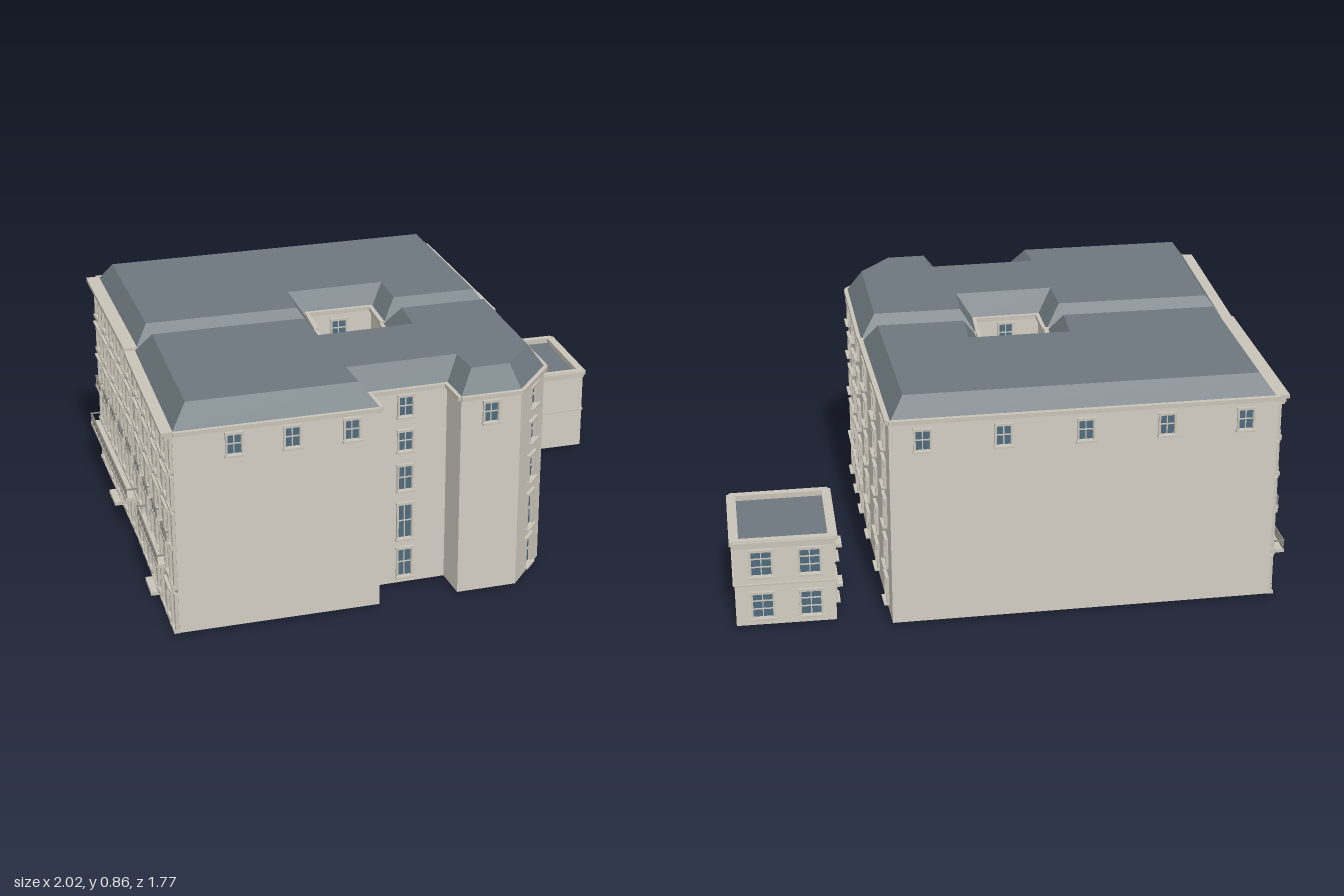
import * as THREE from 'three';
import { mergeGeometries } from 'three/addons/utils/BufferGeometryUtils.js';

const mat = (color) => new THREE.MeshStandardMaterial({ color, side: THREE.DoubleSide, flatShading: true });
const wallMat = mat(0xd2cdc2), trimMat = mat(0xc9c4b8), roofMat = mat(0x6c777d);
const glassMat = mat(0x4f6b7d), stoneMat = mat(0x8d8a83);

const box = (w, h, d, x, y, z) => new THREE.BoxGeometry(w, h, d).translate(x, y, z);
function add(group, name, geos, material) {
  if (!geos.length) return;
  const mesh = new THREE.Mesh(geos.length > 1 ? mergeGeometries(geos) : geos[0], material);
  mesh.name = name;
  group.add(mesh);
}

// floor rows as [centre height, window height]
const ROWS_B = [[0.715, 0.075], [0.58, 0.075], [0.435, 0.095], [0.262, 0.135], [0.095, 0.11]];
const ROWS_A = [[0.70, 0.10], [0.55, 0.095], [0.40, 0.10], [0.24, 0.10], [0.09, 0.095]];
const ROWS_F = [[0.70, 0.095], [0.555, 0.09], [0.41, 0.10], [0.265, 0.12], [0.09, 0.115]];
const ROWS_ANNEX = [[0.255, 0.095], [0.09, 0.095]];
const grid = (cols, rows, w = 0.05, panes = 2) =>
  cols.flatMap((u) => rows.map(([y, h]) => ({ u, y, w, h, panes })));

// One wall from p to q (outside on local +z) with pierced windows, surrounds and glass
function makeWall(name, p, q, y1, wins = [], opt = {}) {
  const dx = q[0] - p[0], dz = q[1] - p[1], len = Math.hypot(dx, dz), y0 = opt.y0 ?? 0.012;
  const g = new THREE.Group();
  g.name = name;
  g.position.set(p[0], 0, p[1]);
  g.rotation.y = Math.atan2(-dz, dx);
  const rect = (C, x0, b, x1, t) => {
    const s = new C();
    s.moveTo(x0, b); s.lineTo(x1, b); s.lineTo(x1, t); s.lineTo(x0, t); s.closePath();
    return s;
  };
  const shape = rect(THREE.Shape, 0, y0, len, y1);
  const glass = [], trim = [];
  for (const { u, y, w, h, panes } of wins) {
    const x = u * len, b = y - h / 2, t = y + h / 2;
    shape.holes.push(rect(THREE.Path, x - w / 2, b, x + w / 2, t));
    glass.push(new THREE.PlaneGeometry(w, h).translate(x, y, -0.004));
    for (const s of [-1, 1]) trim.push(box(0.007, h, 0.014, x + s * (w / 2 + 0.003), y, 0.002));
    trim.push(box(w + 0.016, 0.009, 0.018, x, t + 0.004, 0.003));
    trim.push(box(w + 0.02, 0.007, 0.026, x, b - 0.003, 0.006));
    // glazing bars
    trim.push(box(0.004, h, 0.004, x, y, -0.002));
    for (let i = 1; i < panes; i++) trim.push(box(w, 0.004, 0.004, x, b + (h * i) / panes, -0.002));
  }
  if (opt.cornice !== false) trim.push(box(len, 0.016, 0.016, len / 2, y1 - 0.006, 0.004));
  add(g, 'wallFace', [new THREE.ShapeGeometry(shape)], wallMat);
  add(g, 'windowGlass', glass, glassMat);
  add(g, 'windowTrim', trim, trimMat);
  g.userData.length = len;
  return g;
}

// Street front dressing: paired columns, floor bands, deep cornice and balconies
function dressFacade(g, cols, y1, longBalcony) {
  const len = g.userData.length, stone = [], iron = [];
  const step = cols[1] - cols[0];
  for (const [y, h] of ROWS_F) {
    for (const u of cols) {
      const x = u * len;
      for (const s of [-1, 1]) {
        const cx = x + s * 0.04;
        stone.push(new THREE.CylinderGeometry(0.006, 0.007, h + 0.012, 8).translate(cx, y, 0.012));
        stone.push(box(0.018, 0.008, 0.02, cx, y + h / 2 + 0.008, 0.012));
        stone.push(box(0.018, 0.008, 0.02, cx, y - h / 2 - 0.008, 0.012));
      }
      stone.push(box(0.105, 0.008, 0.026, x, y + h / 2 + 0.016, 0.012));
    }
    for (let i = 0; i <= cols.length; i++) {
      const x = THREE.MathUtils.clamp((cols[0] + (i - 0.5) * step) * len, 0.012, len - 0.012);
      stone.push(box(0.018, h + 0.03, 0.012, x, y, 0.006));
    }
    stone.push(box(len, 0.01, 0.02, len / 2, y - h / 2 - 0.017, 0.008));
  }
  // layered cornice
  stone.push(box(len, 0.012, 0.03, len / 2, y1 - 0.018, 0.012));
  stone.push(box(len, 0.014, 0.05, len / 2, y1 - 0.005, 0.014));
  for (let x = 0.02; x < len; x += 0.03) stone.push(box(0.01, 0.016, 0.026, x, y1 - 0.03, 0.014));
  // balconies with railings
  const balcony = (x, y, w, d) => {
    stone.push(box(w, 0.012, d, x, y, d / 2));
    iron.push(box(w, 0.005, 0.005, x, y + 0.04, d - 0.004));
    const n = Math.max(4, Math.round(w / 0.014));
    for (let i = 0; i <= n; i++)
      iron.push(box(0.004, 0.036, 0.004, x - w / 2 + 0.003 + ((w - 0.006) * i) / n, y + 0.022, d - 0.004));
    for (const s of [-1, 1]) iron.push(box(0.005, 0.005, d, x + s * (w / 2 - 0.003), y + 0.04, d / 2));
  };
  if (longBalcony) balcony(len / 2, 0.175, len * 0.96, 0.055);
  else balcony(len / 2, 0.195, len * 0.55, 0.045);
  for (const u of cols) balcony(u * len, 0.345, 0.09, 0.03);
  // entrance step
  stone.push(box(0.12, 0.014, 0.05, len / 2, 0.007, 0.02));
  add(g, 'facadeStonework', stone, trimMat);
  add(g, 'balconyRailings', iron, stoneMat);
}

// Move a closed outline inwards with mitred corners
function inset(poly, d) {
  const n = poly.length;
  const inward = (i) => {
    const a = poly[i % n], b = poly[(i + 1) % n];
    const dx = b[0] - a[0], dz = b[1] - a[1], l = Math.hypot(dx, dz);
    return [dz / l, -dx / l];
  };
  return poly.map((p, i) => {
    const a = inward(i + n - 1), b = inward(i);
    const k = d / (1 + a[0] * b[0] + a[1] * b[1]);
    return [p[0] + (a[0] + b[0]) * k, p[1] + (a[1] + b[1]) * k];
  });
}

// Roof: sloping skirt from the eaves to a flat top
function makeRoof(name, poly, d, y0, y1) {
  const top = inset(poly, d), pos = [], n = poly.length;
  const put = (p, y) => pos.push(p[0], y, p[1]);
  for (let i = 0; i < n; i++) {
    const j = (i + 1) % n;
    put(poly[i], y0); put(poly[j], y0); put(top[j], y1);
    put(poly[i], y0); put(top[j], y1); put(top[i], y1);
  }
  const flat = top.map((p) => new THREE.Vector2(p[0], -p[1]));
  for (const tri of THREE.ShapeUtils.triangulateShape(flat, [])) tri.forEach((k) => put(top[k], y1));
  const geo = new THREE.BufferGeometry();
  geo.setAttribute('position', new THREE.Float32BufferAttribute(pos, 3));
  geo.computeVertexNormals();
  const mesh = new THREE.Mesh(geo, roofMat);
  mesh.name = name;
  return mesh;
}

export function createModel() {
  const model = new THREE.Group();
  model.name = 'cityBlock';

  // Outlines run front left to right, then round the back
  const rear = [[-0.83, 0.14], [-0.155, 0.027], [-0.175, -0.14], [0.08, -0.185], [0.105, -0.018],
    [0.535, -0.09], [0.385, -0.85], [-0.965, -0.615]];
  const front = [[-0.72, 0.87], [0, 0.745], [-0.03, 0.615], [0.26, 0.56], [0.29, 0.69], [0.51, 0.65],
    [0.63, 0.45], [0.535, -0.09], [0.105, -0.018], [0.125, 0.145], [-0.125, 0.195], [-0.155, 0.027], [-0.83, 0.14]];
  const annex = [[0.645, -0.44], [0.995, -0.50], [0.935, -0.88], [0.585, -0.825]];
  const colsA = [0.1, 0.3, 0.5, 0.7, 0.9], colsB = [0.13, 0.377, 0.623, 0.87];
  const topB = ROWS_B.slice(0, 1);

  // windows by wall index
  const rearWins = {
    2: grid([0.5], ROWS_A, 0.055, 3),
    5: grid([0.155, 0.495, 0.84], ROWS_A, 0.055, 3),
    6: grid([0.085, 0.29, 0.5, 0.71, 0.915], [[0.715, 0.075]]),
    7: grid(colsA, ROWS_F),
  };
  const frontWins = {
    0: grid([0.29, 0.57, 0.86], topB),
    2: grid([0.48], ROWS_B),
    4: grid([0.5], topB),
    5: grid([0.5], ROWS_B, 0.055),
    6: grid([0.15, 0.48, 0.81], ROWS_B, 0.055),
    9: grid([0.5], ROWS_B),
    12: grid(colsB, ROWS_F),
  };
  const annexWins = {
    0: grid([0.2], ROWS_ANNEX, 0.065, 3),
    2: grid([0.27, 0.75], ROWS_ANNEX, 0.07, 3),
    3: [...grid([0.3], ROWS_ANNEX, 0.06, 3), { u: 0.76, y: 0.085, w: 0.06, h: 0.14, panes: 2 }],
  };

  const partyWalls = [7, 11];
  const buildBlock = (name, poly, wins, y1, skip = []) => {
    const block = new THREE.Group();
    block.name = name;
    const walls = poly.map((p, i) => {
      if (skip.includes(i)) return null;
      const w = makeWall(`${name}Wall${i + 1}`, p, poly[(i + 1) % poly.length], y1, wins[i],
        { cornice: !(name === 'rearBlock' && (i === 0 || i === 4)) });
      block.add(w);
      return w;
    });
    model.add(block);
    return { block, walls };
  };

  const A = buildBlock('rearBlock', rear, rearWins, 0.793);
  dressFacade(A.walls[7], colsA, 0.793, true);
  A.block.add(makeRoof('rearRoof', inset(rear, 0.008), 0.05, 0.788, 0.862));

  const B = buildBlock('frontBlock', front, frontWins, 0.783, partyWalls);
  dressFacade(B.walls[12], colsB, 0.783, false);
  B.block.add(makeRoof('frontRoof', front, 0.058, 0.782, 0.864));

  // Annex with coping, string course and a recessed flat roof
  const C = buildBlock('annex', annex, annexWins, 0.34);
  C.walls.forEach((w) => {
    const len = w.userData.length;
    add(w, 'coping', [box(len, 0.03, 0.026, len / 2, 0.33, -0.009)], trimMat);
    add(w, 'stringCourse', [box(len, 0.008, 0.008, len / 2, 0.172, 0.002)], trimMat);
  });
  const porch = C.walls[3], px = porch.userData.length * 0.76;
  add(porch, 'doorCanopyAndStep', [box(0.07, 0.012, 0.04, px, 0.168, 0.02), box(0.07, 0.012, 0.04, px, 0.006, 0.02)], trimMat);
  C.block.add(makeRoof('annexRoof', inset(annex, 0.015), 0.002, 0.322, 0.325));

  return model;
}
